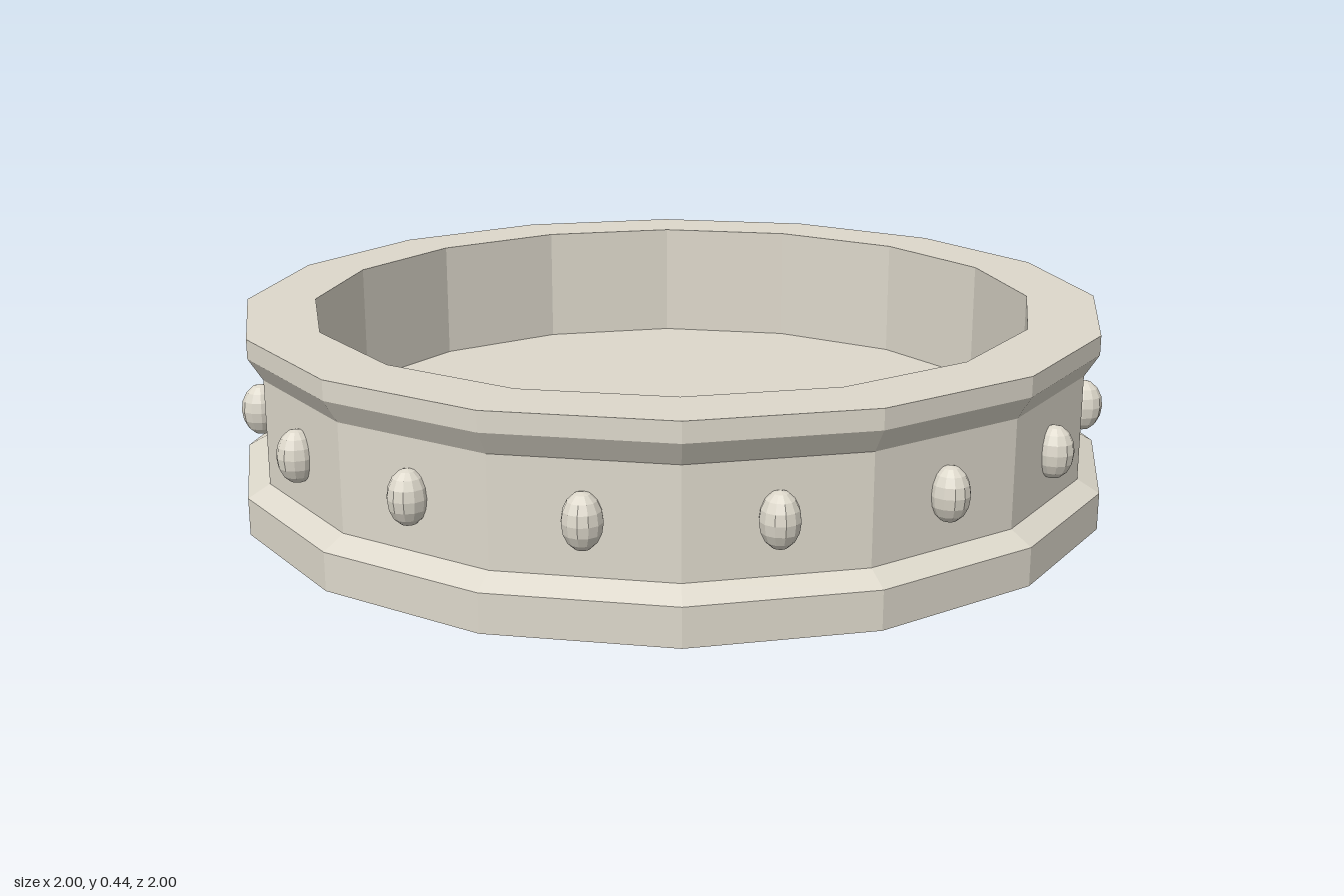
import * as THREE from 'three';

const SIDES = 16;

export function createModel() {
  const model = new THREE.Group();
  model.name = 'studdedRing';
  const stone = new THREE.MeshStandardMaterial({ color: 0xddd8cb, flatShading: true });
  stone.name = 'pale stone';

  // Faceted dish: plinth, recessed band, flared lip, inner wall and floor
  const profile = [
    [0, 0], [1, 0], [1, 0.083], [0.951, 0.11], [0.951, 0.343],
    [0.982, 0.393], [0.982, 0.436], [0.825, 0.436], [0.825, 0.155], [0, 0.155],
  ].map(([r, y]) => new THREE.Vector2(r, y));
  const dish = new THREE.Mesh(new THREE.LatheGeometry(profile, SIDES), stone);
  dish.name = 'dish';
  model.add(dish);

  // One oval stud in the middle of every facet of the band
  const studs = new THREE.Group();
  studs.name = 'studs';
  const studGeometry = new THREE.SphereGeometry(1, 12, 8).scale(0.041, 0.058, 0.043);
  for (let i = 0; i < SIDES; i++) {
    const angle = ((i + 0.5) / SIDES) * Math.PI * 2;
    const stud = new THREE.Mesh(studGeometry, stone);
    stud.name = 'stud';
    stud.position.set(Math.sin(angle) * 0.944, 0.226, Math.cos(angle) * 0.944);
    stud.rotation.y = angle;
    studs.add(stud);
  }
  model.add(studs);
  return model;
}
